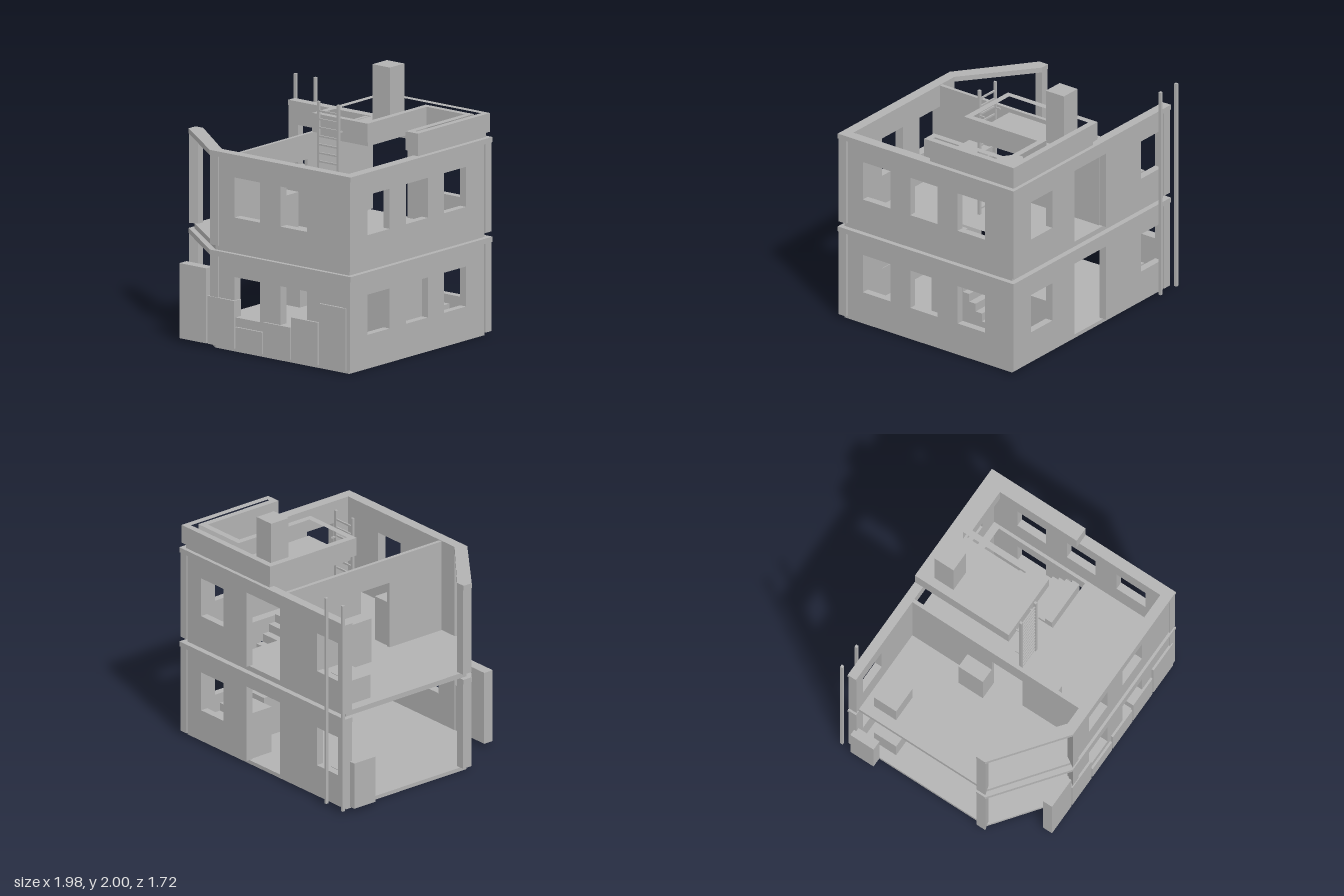
import * as THREE from 'three';

const concrete = new THREE.MeshStandardMaterial({ color: 0xb2b2b2 });
concrete.name = 'concrete grey';

function addMesh(parent, name, geometry) {
  const mesh = new THREE.Mesh(geometry, concrete);
  mesh.name = name;
  parent.add(mesh);
  return mesh;
}

// Box given by its limits on each axis
function block(parent, name, x0, x1, y0, y1, z0, z1) {
  const g = new THREE.BoxGeometry(x1 - x0, y1 - y0, z1 - z0);
  g.translate((x0 + x1) / 2, (y0 + y1) / 2, (z0 + z1) / 2);
  return addMesh(parent, name, g);
}

// Floor-plan outline of [x, z] points raised from y0 to y1
function prism(parent, name, plan, y0, y1, holes = []) {
  const toPoints = (list) => list.map(([x, z]) => new THREE.Vector2(x, -z));
  const shape = new THREE.Shape(toPoints(plan));
  holes.forEach((h) => shape.holes.push(new THREE.Path(toPoints(h))));
  const g = new THREE.ExtrudeGeometry(shape, { depth: y1 - y0, bevelEnabled: false });
  g.rotateX(-Math.PI / 2);
  g.translate(0, y0, 0);
  return addMesh(parent, name, g);
}

const rect = (x0, x1, z0, z1) => [[x0, z0], [x1, z0], [x1, z1], [x0, z1]];

// Upright wall with windows and an optional doorway; outside faces local +z
function wall(parent, name, x0, x1, inner, outer, angle, windows, door) {
  const outline = [[x0, 0]];
  if (door) outline.push([door[0], 0], [door[0], door[2]], [door[1], door[2]], [door[1], 0]);
  outline.push([x1, 0], [x1, 0.7], [x0, 0.7]);
  const shape = new THREE.Shape(outline.map(([x, y]) => new THREE.Vector2(x, y)));
  for (const [a, b] of windows) {
    const hole = [[a, 0.24], [b, 0.24], [b, 0.55], [a, 0.55]];
    shape.holes.push(new THREE.Path(hole.map(([x, y]) => new THREE.Vector2(x, y))));
  }
  const g = new THREE.ExtrudeGeometry(shape, { depth: outer - inner, bevelEnabled: false });
  g.translate(0, 0, inner);
  g.rotateY(angle);
  return addMesh(parent, name, g);
}

// One storey of outer walls, corner posts and top beam
function buildStorey(name, base) {
  const storey = new THREE.Group();
  storey.name = name;
  storey.position.y = base;

  wall(storey, 'frontWall', -0.32, 0.92, 0.77, 0.84, 0, [[-0.16, 0.09], [0.29, 0.55]]);
  wall(storey, 'backWall', -0.92, 0.88, 0.74, 0.8, Math.PI,
    [[-0.75, -0.49], [0.6, 0.85]], [-0.22, 0.17, 0.61]);
  wall(storey, 'sideWall', -0.771, 0.741, 0.905, 0.965, Math.PI / 2,
    [[-0.63, -0.37], [-0.18, 0.08], [0.27, 0.53]]);

  const posts = {
    frontCornerPost: rect(0.91, 0.978, 0.78, 0.85),
    backCornerPost: rect(0.91, 0.978, -0.81, -0.74),
    backEndPost: rect(-0.94, -0.87, -0.81, -0.74),
    diagonalPost: [[-0.94, 0.35], [-0.87, 0.35], [-0.87, 0.485], [-0.94, 0.43]],
    frontEndPost: [[-0.34, 0.77], [-0.31, 0.77], [-0.31, 0.85], [-0.39, 0.85]],
  };
  posts.diagonalPost[2][1] = 0.41;
  for (const [post, plan] of Object.entries(posts)) prism(storey, post, plan, 0, 0.69);

  prism(storey, 'topBeam', [
    [-0.945, -0.815], [0.985, -0.815], [0.985, 0.853], [-0.39, 0.853], [-0.945, 0.43],
    [-0.945, 0.35], [-0.87, 0.35], [-0.34, 0.77], [0.9, 0.77], [0.9, -0.74], [-0.945, -0.74],
  ], 0.69, 0.73);
  return storey;
}

export function createModel() {
  const model = new THREE.Group();
  model.name = 'openHouse';

  // Floors
  const floorPlan = [[-0.905, -0.77], [0.945, -0.77], [0.945, 0.82], [-0.36, 0.82], [-0.905, 0.41]];
  prism(model, 'groundSlab', floorPlan, 0, 0.03);
  prism(model, 'upperFloor', floorPlan, 0.76, 0.8, [rect(0.45, 0.88, -0.68, 0.1)]);

  model.add(buildStorey('lowerStorey', 0.03), buildStorey('upperStorey', 0.8));

  // Upper dividing wall with a doorway
  const divider = new THREE.Group();
  divider.name = 'dividingWall';
  block(divider, 'dividerBack', -0.19, -0.16, 0.8, 1.525, -0.74, -0.02);
  block(divider, 'dividerFront', -0.19, -0.16, 0.8, 1.525, 0.26, 0.77);
  block(divider, 'dividerLintel', -0.19, -0.16, 1.33, 1.525, -0.02, 0.26);
  model.add(divider);

  // Solid staircase rising toward the front
  const stairs = new THREE.Group();
  stairs.name = 'stairs';
  for (let i = 0; i < 12; i++) {
    const z = -0.65 + i * 0.06;
    block(stairs, 'step', 0.48, 0.85, 0.03, 0.03 + (i + 1) * 0.064, z, z + 0.06);
  }
  model.add(stairs);

  // Roof deck, open over the stairwell
  prism(model, 'roofDeck', [
    [-0.03, -0.785], [0.945, -0.785], [0.945, 0.01], [0.88, 0.01],
    [0.88, -0.68], [0.455, -0.68], [0.455, 0.01], [-0.03, 0.01],
  ], 1.53, 1.57);
  prism(model, 'roofParapet', [
    [-0.06, -0.805], [0.97, -0.805], [0.97, 0.045], [0.85, 0.045],
    [0.85, -0.65], [0.48, -0.65], [0.48, 0.045], [-0.06, 0.045],
  ], 1.57, 1.715, [[
    [-0.01, -0.755], [0.92, -0.755], [0.92, -0.005], [0.9, -0.005],
    [0.9, -0.7], [0.43, -0.7], [0.43, -0.005], [-0.01, -0.005],
  ]]);
  block(model, 'chimney', 0.05, 0.22, 1.57, 2, -0.7, -0.53);

  // Ladder with wall brackets
  const ladder = new THREE.Group();
  ladder.name = 'ladder';
  for (const x of [0.03, 0.223]) {
    block(ladder, 'rail', x, x + 0.02, 0.8, 1.83, 0.08, 0.1);
    for (const y of [1.14, 1.61]) block(ladder, 'bracket', x + 0.004, x + 0.016, y, y + 0.012, 0.04, 0.08);
  }
  for (let i = 0; i < 15; i++) {
    const y = 0.84 + i * 0.065;
    block(ladder, 'rung', 0.05, 0.223, y, y + 0.013, 0.084, 0.096);
  }
  model.add(ladder);

  // Row of boards of rising and falling height along the front
  [0.61, 0.4, 0.2, 0.28, 0.36, 0.51].forEach((top, i) => {
    const x = -0.68 + i * 0.272;
    block(model, 'frontBoard', x, x + 0.26, 0.03, top, 0.775, 0.858);
  });

  // Storage boxes
  block(model, 'lowerFloorBox', -0.82, -0.6, 0.03, 0.22, -0.66, -0.46);
  block(model, 'upperFloorBox', -0.82, -0.6, 0.8, 0.99, -0.66, -0.46);
  block(model, 'cupboard', -0.16, -0.005, 0.8, 1.155, 0.27, 0.49);
  block(model, 'dividerCabinet', -0.31, -0.19, 0.8, 1.155, -0.24, -0.02);
  block(model, 'doorCabinet', 0.23, 0.46, 0.03, 0.4, -0.74, -0.545);
  block(model, 'outerCabinet', -0.99, -0.91, 0.03, 0.4, -0.76, -0.55);

  // Tall poles behind the back wall
  for (const x of [-0.965, -0.772]) block(model, 'backPole', x - 0.011, x + 0.011, 0.03, 1.71, -0.862, -0.84);

  return model;
}
